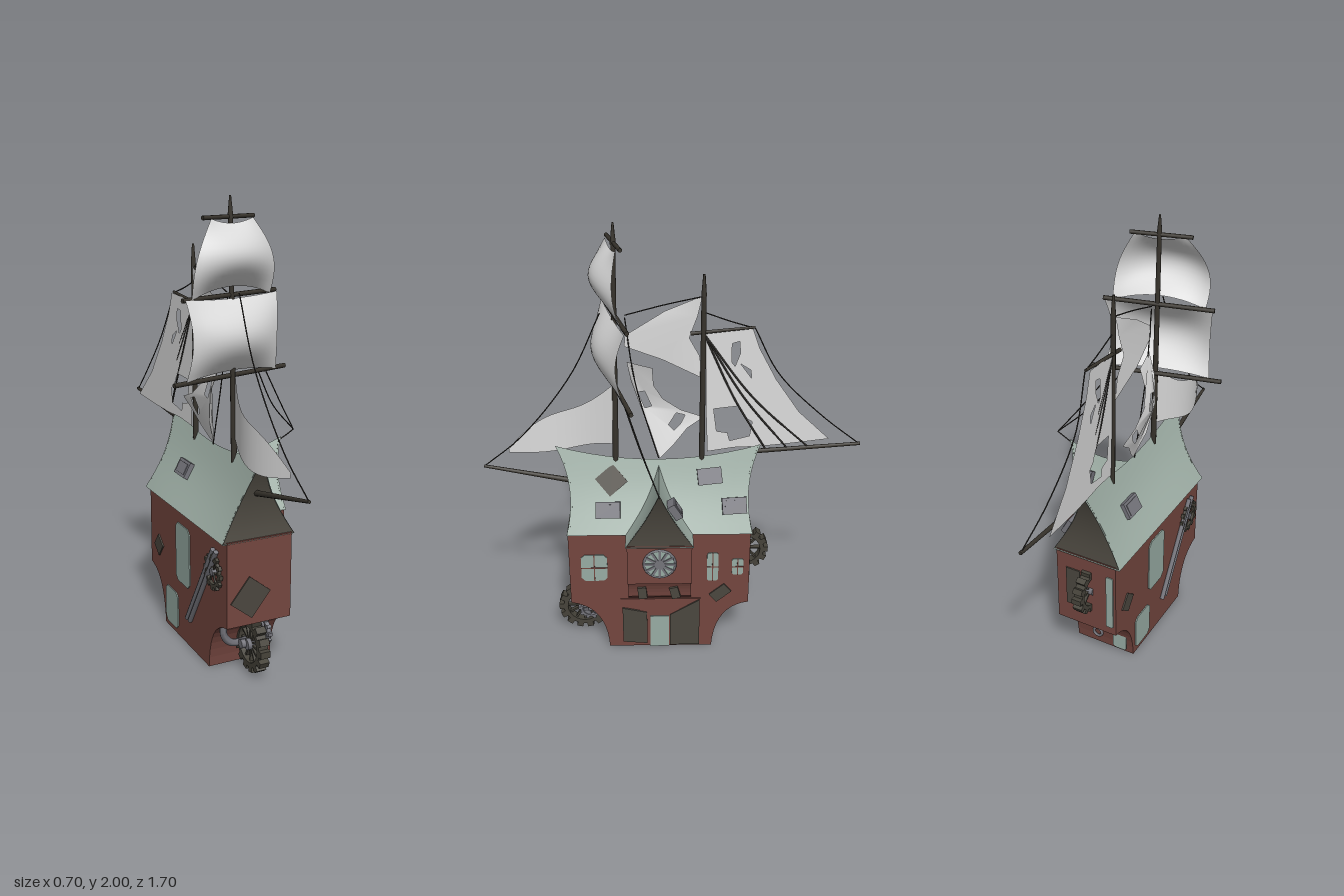
import * as THREE from 'three';

const mat = (name, color, side = THREE.FrontSide) => {
  const m = new THREE.MeshStandardMaterial({ color, side });
  m.name = name;
  return m;
};
const V = (x, y, z) => new THREE.Vector3(x, y, z);

export function createModel() {
  const root = new THREE.Group();
  const D = THREE.DoubleSide;
  const M = {
    brick: mat('red brick', 0x74463f), roof: mat('pale green roof', 0x9eaea5, D),
    gable: mat('dark boards', 0x4b473f, D), wood: mat('mast wood', 0x37332c),
    sail: mat('sail cloth', 0xdcdcdc, D), glass: mat('window glass', 0x98aca4),
    metal: mat('grey metal', 0x74747b), gear: mat('gear iron', 0x46433a), rope: mat('rope', 0x2d2b28),
  };
  const add = (name, geo, m, parent = root) => {
    const mesh = new THREE.Mesh(geo, m);
    mesh.name = name;
    parent.add(mesh);
    return mesh;
  };

  // Helpers: curved sheet, thin plate, spar, rope, side profile
  const sheet = (nu, nv, fn) => {
    const pos = [], idx = [];
    for (let j = 0; j <= nv; j++) for (let i = 0; i <= nu; i++) pos.push(...fn(i / nu, j / nv));
    for (let j = 0; j < nv; j++) for (let i = 0; i < nu; i++) {
      const a = j * (nu + 1) + i, b = a + nu + 1;
      idx.push(a, a + 1, b, b, a + 1, b + 1);
    }
    const g = new THREE.BufferGeometry();
    g.setAttribute('position', new THREE.Float32BufferAttribute(pos, 3));
    g.setIndex(idx);
    g.computeVertexNormals();
    return g;
  };
  const plate = (name, m, w, h, p, yaw, roll = 0, tilt = 0, depth = 0.009) => {
    const b = add(name, new THREE.BoxGeometry(w, h, depth), m);
    b.position.set(...p);
    b.rotation.set(tilt, yaw, roll, 'YXZ');
    return b;
  };
  const spar = (name, a, b, r0, r1 = r0, m = M.wood) => {
    const d = b.clone().sub(a);
    const s = add(name, new THREE.CylinderGeometry(r1, r0, d.length(), 8), m);
    s.position.copy(a).addScaledVector(d, 0.5);
    s.quaternion.setFromUnitVectors(V(0, 1, 0), d.normalize());
    return s;
  };
  const tube = (name, pts, r, m, n = 16) =>
    add(name, new THREE.TubeGeometry(new THREE.CatmullRomCurve3(pts), n, r, 5), m);
  const sideShape = (name, pts, x, depth, m) => {
    const s = new THREE.Shape(pts.map(([z, y]) => new THREE.Vector2(-z, y)));
    const e = add(name, new THREE.ExtrudeGeometry(s, { depth, bevelEnabled: false }), m);
    e.rotation.y = Math.PI / 2;
    e.position.x = x;
    return e;
  };
  const R = Math.PI / 2, L = -Math.PI / 2;

  // Main house with curved overhangs at both ends
  const hull = new THREE.Shape();
  hull.moveTo(-0.3, 0);
  hull.lineTo(0.185, 0);
  hull.quadraticCurveTo(0.2, 0.23, 0.355, 0.25);
  hull.lineTo(0.355, 0.635);
  hull.lineTo(-0.475, 0.635);
  hull.lineTo(-0.475, 0.255);
  hull.quadraticCurveTo(-0.31, 0.23, -0.3, 0);
  const house = add('houseBody', new THREE.ExtrudeGeometry(hull, { depth: 0.3, bevelEnabled: false, curveSegments: 10 }), M.brick);
  house.rotation.y = R;
  house.position.x = -0.195;

  // Side bay on a curved corbel
  const bay = new THREE.Shape();
  bay.moveTo(0.05, 0.28);
  bay.lineTo(0.105, 0.28);
  bay.lineTo(0.13, 0.305);
  bay.quadraticCurveTo(0.14, 0.43, 0.22, 0.435);
  bay.lineTo(0.22, 0.635);
  bay.lineTo(0.05, 0.635);
  add('sideBay', new THREE.ExtrudeGeometry(bay, { depth: 0.29, bevelEnabled: false, curveSegments: 10 }), M.brick).position.z = -0.085;
  for (const z of [0.14, -0.01]) plate('bayBracket', M.gable, 0.04, 0.06, [0.137, 0.335, z], R, z > 0 ? 0.1 : 0.25, 0, 0.03);

  // Gabled roofs with flared ends: local z runs along the ridge
  const roof = (name, half, front, back, ridge, ends) => {
    const g = new THREE.Group();
    g.name = name;
    root.add(g);
    const flare = (e, u) => e[0] * (1 - u) * (1 - 2 * u) + 4 * e[1] * u * (1 - u) + e[2] * u * (2 * u - 1);
    const wide = (u) => half * (1 - u) - 0.016 * Math.sin(Math.PI * u);
    const pt = (side, t, u, inset = 0) => {
      const z = flare(back, u) * (1 - t) + flare(front, u) * t;
      const h = ridge[0] * (1 - t) * (1 - 2 * t) + 4 * ridge[1] * t * (1 - t) + ridge[2] * t * (2 * t - 1);
      return [side * wide(u), 0.63 + (h - 0.63) * u, z + inset];
    };
    for (const s of [1, -1]) add('roofSlope', sheet(12, 10, (t, u) => pt(s, t, u)), M.roof, g);
    for (const t of ends) add('gableBoards', sheet(4, 10, (w, u) => pt(2 * w - 1, t, u, t ? -0.008 : 0.008)), M.gable, g);
    add('eaveFloor', sheet(1, 1, (w, t) => pt(2 * w - 1, t, 0)), M.roof, g);
    return g;
  };
  roof('mainRoof', 0.167, [0.478, 0.463, 0.525], [-0.362, -0.347, -0.4], [1.0, 0.93, 1.0], [0, 1]).position.x = -0.05;
  const dormer = roof('bayRoof', 0.152, [0.227, 0.235, 0.28], [-0.04, -0.04, -0.045], [0.905, 0.882, 0.925], [1]);
  dormer.rotation.y = R;
  dormer.position.z = 0.06;

  // Skylights and patches on the slopes
  for (const [x, y, z, yaw, roll, tilt] of [[0.062, 0.73, 0.29, R, 0, -0.5], [-0.012, 0.86, -0.17, R, 0.1, -0.5],
    [0.058, 0.745, -0.28, R, 0.05, -0.5], [-0.125, 0.78, -0.1, L, 0, -0.5], [0.16, 0.79, -0.01, Math.PI, 0, -0.55]]) {
    const w = yaw === Math.PI ? 0.07 : 0.11;
    const f = plate('skylightFrame', M.metal, w, 0.075, [x, y, z], yaw, roll, tilt, 0.035);
    const pane = add('skylightPane', new THREE.BoxGeometry(w - 0.025, 0.05, 0.004), M.metal, f);
    pane.position.z = 0.019;
  }
  plate('roofPatch', M.gable, 0.105, 0.105, [-0.009, 0.845, 0.275], R, 0.7, -0.47);
  plate('wallPatch', M.gable, 0.14, 0.125, [-0.088, 0.38, 0.477], 0, 0.9);
  plate('wallPatch', M.gable, 0.09, 0.055, [0.107, 0.305, -0.222], R, 0.7);
  plate('wallPatch', M.gable, 0.08, 0.07, [-0.197, 0.37, -0.25], L, 0.9);
  plate('backPanel', M.gable, 0.07, 0.2, [0.02, 0.45, -0.357], Math.PI);

  // Windows with glazing bars
  const win = (w, h, p, yaw, bars = true) => {
    const s = new THREE.Shape(), a = w / 2, b = h / 2, c = Math.min(w, h) * 0.14;
    [[-a + c, -b], [a - c, -b], [a, -b + c], [a, b - c], [a - c, b], [-a + c, b], [-a, b - c], [-a, -b + c]]
      .forEach(([x, y], i) => (i ? s.lineTo(x, y) : s.moveTo(x, y)));
    const g = add('window', new THREE.ExtrudeGeometry(s, { depth: 0.005, bevelEnabled: false }), M.glass);
    g.position.set(...p);
    g.rotation.y = yaw;
    if (bars) for (const [bw, bh] of [[0.005, h], [w, 0.005]]) add('glazingBar', new THREE.BoxGeometry(bw, bh, 0.014), M.brick, g);
  };
  win(0.12, 0.14, [0.105, 0.45, 0.36], R);
  win(0.052, 0.15, [0.105, 0.45, -0.185], R);
  win(0.052, 0.085, [0.105, 0.45, -0.3], R);
  win(0.15, 0.28, [-0.195, 0.42, 0.03], L, false);
  win(0.14, 0.18, [-0.195, 0.115, -0.1], L, false);
  win(0.035, 0.28, [-0.165, 0.43, -0.355], Math.PI, false);
  win(0.07, 0.1, [-0.13, 0.07, -0.197], Math.PI, false);

  // Round bay window with spokes
  const disc = add('roundWindow', new THREE.CylinderGeometry(0.07, 0.07, 0.006, 28), M.glass);
  disc.rotation.z = L;
  disc.position.set(0.224, 0.545, 0.06);
  const rim = add('roundWindowRim', new THREE.TorusGeometry(0.07, 0.006, 6, 28), M.metal);
  rim.rotation.y = R;
  rim.position.copy(disc.position);
  for (let i = 0; i < 6; i++) plate('windowSpoke', M.metal, 0.14, 0.011, [0.227, 0.545, 0.06], R, i * Math.PI / 6);

  // Entrance: lintel, two door leaves and glass doorway
  sideShape('lintel', [[0.245, 0.275], [0.12, 0.185], [0.01, 0.185], [-0.13, 0.275]], 0.105, 0.005, M.brick);
  sideShape('doorLeaf', [[0.235, 0.225], [0.235, 0.03], [0.12, 0.02], [0.12, 0.2]], 0.106, 0.008, M.gable);
  sideShape('doorLeaf', [[0.012, 0.185], [0.012, 0.01], [-0.127, 0.01], [-0.127, 0.268]], 0.106, 0.008, M.gable);
  sideShape('doorway', [[0.105, 0.175], [0.105, 0], [0.018, 0], [0.018, 0.175]], 0.105, 0.006, M.glass);

  // Gears
  const gear = (name, r, teeth, width, p, yaw, m, spokes) => {
    const g = new THREE.Group();
    g.name = name;
    g.position.set(...p);
    g.rotation.y = yaw;
    root.add(g);
    const ring = new THREE.Shape();
    ring.absarc(0, 0, r * 0.83, 0, Math.PI * 2);
    ring.holes.push(new THREE.Path().absarc(0, 0, r * 0.66, 0, Math.PI * 2, true));
    add('gearRing', new THREE.ExtrudeGeometry(ring, { depth: width, bevelEnabled: false }), m, g).position.z = -width / 2;
    const bar = (n, count, w, h, rad, d) => {
      for (let i = 0; i < count; i++) {
        const a = (i / count) * Math.PI * 2;
        const b = add(n, new THREE.BoxGeometry(w, h, d), m, g);
        b.position.set(Math.cos(a) * rad, Math.sin(a) * rad, 0);
        b.rotation.z = a;
      }
    };
    bar('gearTooth', teeth, r * 0.24, r * 0.24, r * 0.88, width);
    bar('gearSpoke', spokes, r * 0.7, r * 0.07, r * 0.35, width * 0.5);
    add('gearHub', new THREE.CylinderGeometry(r * 0.2, r * 0.2, width * 1.3, 12), M.metal, g).rotation.x = R;
  };
  gear('frontGear', 0.122, 14, 0.045, [-0.05, 0.137, 0.425], R, M.gear, 12);
  gear('backGear', 0.108, 13, 0.045, [-0.05, 0.455, -0.345], R, M.gear, 8);
  gear('smallGear', 0.06, 10, 0.02, [0.025, 0.17, 0.39], R, M.metal, 6);
  gear('leftGear', 0.08, 12, 0.014, [-0.205, 0.47, 0.36], R, M.gear, 6);

  // Pipes
  tube('frontPipe', [V(-0.165, 0.25, 0.38), V(-0.165, 0.18, 0.38), V(-0.13, 0.14, 0.38), V(-0.05, 0.135, 0.38), V(0.03, 0.15, 0.38)], 0.017, M.metal);
  spar('gearAxle', V(-0.1, 0.137, 0.41), V(0.03, 0.137, 0.41), 0.02, 0.02, M.metal);
  for (const o of [0, 0.03]) spar('sidePipe', V(-0.205, 0.14, 0.09 + o), V(-0.205, 0.57, 0.36 + o), 0.011, 0.011, M.metal);
  const port = add('backPorthole', new THREE.TorusGeometry(0.022, 0.007, 6, 16), M.metal);
  port.position.set(-0.01, 0.07, -0.198);

  // Masts, yards, bowsprit, boom and gaff
  spar('frontMast', V(-0.055, 0.9, 0.255), V(-0.069, 1.93, 0.241), 0.014, 0.01);
  spar('frontMastTip', V(-0.069, 1.91, 0.241), V(-0.07, 2, 0.24), 0.013, 0.004);
  spar('backMast', V(-0.055, 0.9, -0.135), V(-0.062, 1.7, -0.135), 0.013, 0.011);
  spar('backMastTip', V(-0.062, 1.69, -0.135), V(-0.063, 1.785, -0.135), 0.012, 0.005);
  spar('lowerYard', V(-0.352, 1.27, 0.315), V(0.227, 1.278, 0.173), 0.01);
  spar('middleYard', V(-0.308, 1.602, 0.303), V(0.168, 1.61, 0.185), 0.01);
  spar('upperYard', V(-0.207, 1.915, 0.275), V(0.052, 1.918, 0.208), 0.009);
  spar('bowsprit', V(-0.052, 0.822, 0.45), V(-0.04, 0.908, 0.848), 0.013, 0.007);
  spar('boom', V(-0.058, 0.962, -0.37), V(-0.058, 0.997, -0.849), 0.011, 0.008);
  spar('gaff', V(-0.062, 1.525, -0.08), V(-0.062, 1.552, -0.355), 0.009, 0.006);

  // Square sails bellying forward
  const square = (name, bottom, top, xc, wb, wt, bulge, lift, dip) =>
    add(name, sheet(16, 14, (s, v) => {
      const u = 2 * s - 1, w = wb + (wt - wb) * v + bulge * Math.sin(Math.PI * v);
      const x = xc + u * w;
      const y = bottom + (top - bottom) * v + (1 - u * u) * (lift * (1 - v) - dip * v);
      return [x, y, 0.252 - 0.24 * (x + 0.06) + 0.09 * Math.sin(Math.PI * v) * (1 - 0.6 * u * u)];
    }), M.sail);
  square('mainSail', 1.275, 1.605, -0.062, 0.233, 0.235, -0.018, 0.022, 0.012);
  square('topSail', 1.6, 1.912, -0.066, 0.2, 0.105, 0.04, 0.042, 0.02);

  // Jib: triangle from mast to bowsprit
  add('jib', sheet(14, 10, (t, v) => {
    const lo = 0.98 + 0.025 * Math.cos(t * 5) - 0.02 * t;
    const hi = 1.29 - 0.3 * t - 0.025 * Math.sin(Math.PI * 2 * t);
    return [-0.055 - 0.06 * Math.sin(Math.PI * t), lo + (Math.max(hi, lo) - lo) * v, 0.262 + 0.47 * t];
  }), M.sail);

  // Fore and aft sails with torn holes, drawn as [z, y]
  const torn = (name, pts, holes, bend) => {
    const v2 = (p) => p.map(([z, y]) => new THREE.Vector2(z, y));
    const s = new THREE.Shape(v2(pts));
    for (const h of holes) s.holes.push(new THREE.Path(v2(h)));
    const g = new THREE.ShapeGeometry(s), p = g.attributes.position;
    for (let i = 0; i < p.count; i++) {
      const z = p.getX(i), y = p.getY(i);
      p.setXYZ(i, bend(z, y), y, z);
    }
    g.computeVertexNormals();
    add(name, g, M.sail);
  };
  torn('rearSail', [[-0.145, 1.53], [-0.345, 1.55], [-0.38, 1.45], [-0.46, 1.3], [-0.57, 1.14], [-0.715, 1.0], [-0.55, 0.985],
    [-0.4, 0.975], [-0.28, 0.975], [-0.16, 0.96], [-0.15, 1.2]],
  [[[-0.26, 1.475], [-0.292, 1.485], [-0.297, 1.43], [-0.275, 1.37], [-0.26, 1.39]], [[-0.3, 1.38], [-0.35, 1.31], [-0.345, 1.35]],
    [[-0.185, 1.17], [-0.3, 1.18], [-0.33, 1.12], [-0.36, 1.1], [-0.35, 1.03], [-0.26, 1.01], [-0.25, 1.05], [-0.2, 1.06]]],
  (z) => -0.062 + 0.07 * (z + 0.14));
  torn('upperStaysail', [[-0.13, 1.69], [0.03, 1.62], [0.2, 1.52], [0.205, 1.47], [0.04, 1.4], [-0.135, 1.315], [-0.12, 1.42], [-0.075, 1.5], [-0.11, 1.6]],
    [], (z) => -0.06 - 0.02 * Math.cos(z * 8));
  torn('lowerStaysail', [[0.195, 1.4], [0.085, 1.365], [0.08, 1.27], [0.04, 1.2], [-0.04, 1.145], [-0.145, 1.11], [-0.07, 1.06], [-0.01, 0.99],
    [0.055, 0.93], [0.1, 1.05], [0.145, 1.18], [0.18, 1.3]],
  [[[0.15, 1.235], [0.12, 1.24], [0.09, 1.165], [0.12, 1.155]], [[0.015, 1.075], [-0.02, 1.13], [-0.06, 1.12], [-0.04, 1.08], [-0.01, 1.05]]],
  (z, y) => -0.055 - 0.06 * Math.sin(Math.PI * Math.min(1, Math.max(0, (y - 0.93) / 0.47))));

  // Rigging
  const x = -0.06;
  const rope = (...pts) => tube('rope', pts, 0.0028, M.rope);
  rope(V(x, 1.61, 0.2), V(x, 1.655, 0.03), V(x, 1.69, -0.13));
  rope(V(x, 1.62, 0.305), V(x, 1.34, 0.44), V(-0.05, 1.05, 0.67), V(-0.04, 0.908, 0.845));
  rope(V(x, 1.62, -0.14), V(x, 1.58, -0.25), V(x, 1.55, -0.35));
  rope(V(x, 1.55, -0.355), V(-0.08, 1.33, -0.47), V(-0.075, 1.13, -0.67), V(-0.058, 1.0, -0.84));
  for (const [mz, my, z] of [[-0.28, 1.21, -0.42], [-0.32, 1.22, -0.52], [-0.36, 1.22, -0.62]])
    tube('boomStay', [V(x, 1.52, -0.14), V(-0.07, my, mz), V(-0.058, 0.977, z)], 0.0045, M.rope);
  const tip = V(0.345, 0.95, 0.058);
  rope(V(0.08, 1.27, 0.21), V(0.19, 1.1, 0.14), tip);
  rope(V(0.12, 1.27, 0.2), V(0.25, 1.08, 0.12), tip);
  rope(tip, V(0.31, 0.93, 0.06), V(0.275, 0.912, 0.06));
  rope(V(x, 1.6, 0.2), V(x, 1.3, 0.16), V(x, 0.93, 0.06));
  return root;
}
